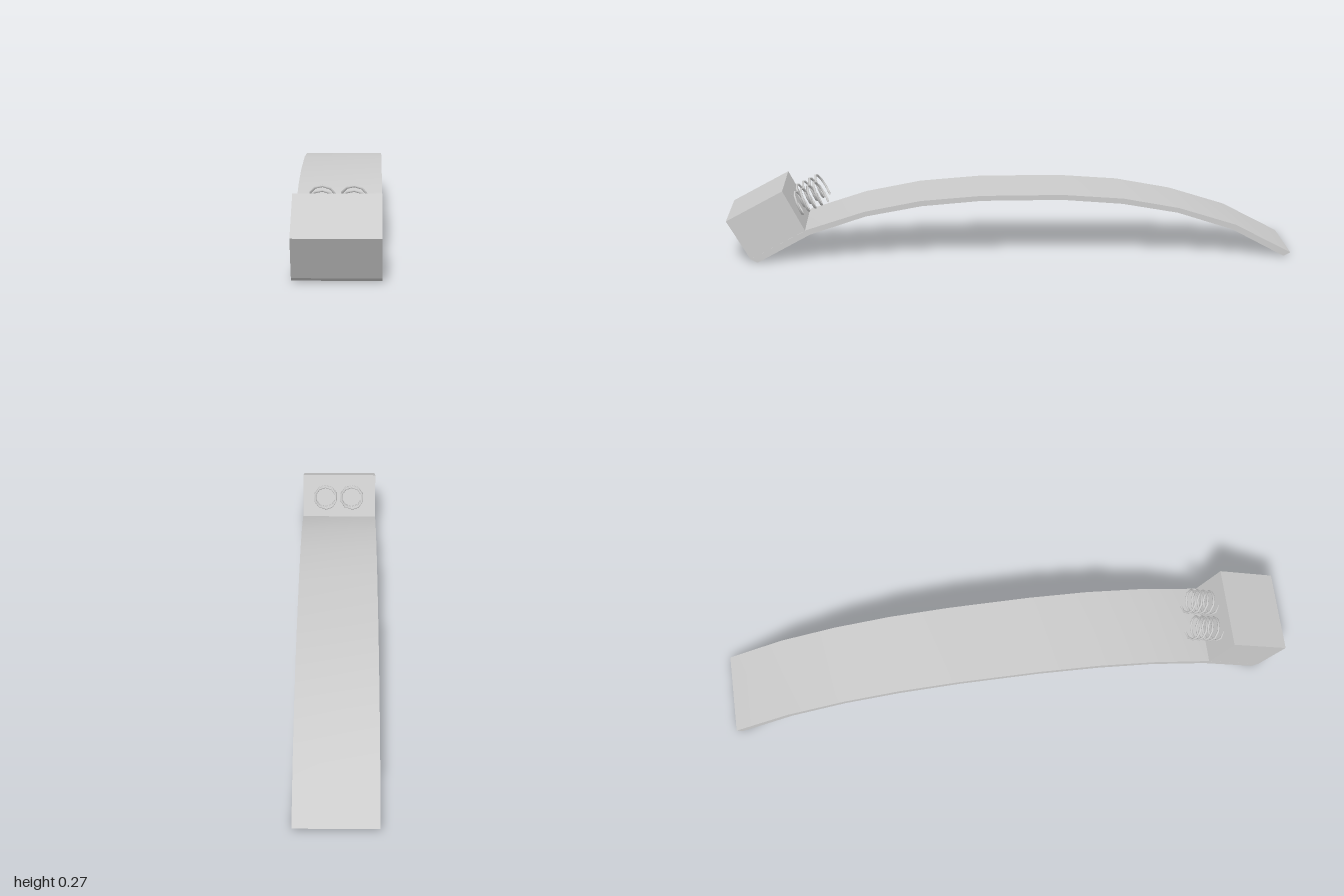
import * as THREE from 'three';
import { toCreasedNormals } from 'three/addons/utils/BufferGeometryUtils.js';

const WIDTH = 0.284;
const MID_Z = -0.04; // the bow is symmetric about this z

// Extrude a (z, y) side profile across the width, centred on x = 0
function extrudeProfile(points, name, material) {
  const shape = new THREE.Shape(points.map(([z, y]) => new THREE.Vector2(z, y)));
  const geometry = new THREE.ExtrudeGeometry(shape, { depth: WIDTH, bevelEnabled: false });
  geometry.translate(0, 0, -WIDTH / 2);
  geometry.rotateY(-Math.PI / 2);
  const mesh = new THREE.Mesh(toCreasedNormals(geometry, 0.5), material);
  mesh.name = name;
  return mesh;
}

// Helix running along +z, starting at the top of the coil
class Helix extends THREE.Curve {
  constructor(radius, length, turns) {
    super();
    Object.assign(this, { radius, length, turns });
  }
  getPoint(t, target = new THREE.Vector3()) {
    const a = t * this.turns * Math.PI * 2;
    return target.set(this.radius * Math.sin(a), this.radius * Math.cos(a), this.length * t);
  }
}

export function createModel() {
  const group = new THREE.Group();
  const material = new THREE.MeshStandardMaterial({ color: 0xcccccc });
  const springMaterial = new THREE.MeshStandardMaterial({ color: 0xcccccc, side: THREE.DoubleSide });

  // Bowed strip: half profiles as [distance from middle, height], mirrored
  const upper = [[0.144, 0.235], [0.358, 0.219], [0.556, 0.182], [0.76, 0.118], [0.959, 0.013]];
  const lower = [[0.142, 0.217], [0.354, 0.2], [0.551, 0.165], [0.748, 0.101], [0.935, 0]];
  const side = (pts, s) => pts.map(([d, y]) => [MID_Z + s * d, y]);
  const profile = [
    ...side(lower, -1).reverse(), ...side(lower, 1),
    ...side(upper, 1).reverse(), ...side(upper, -1),
  ];
  group.add(extrudeProfile(profile, 'bowedStrip', material));

  // Block standing on the front end of the strip
  group.add(extrudeProfile(
    [[0.919, 0.013], [1, 0.153], [0.8, 0.26], [0.725, 0.116]], 'endBlock', material));

  // Pair of coil springs standing out of the block's inner face
  const coil = new THREE.TubeGeometry(new Helix(0.042, 0.114, 4.5), 45, 0.004, 8, false);
  for (const [name, x] of [['leftSpring', 0.053], ['rightSpring', -0.049]]) {
    const spring = new THREE.Mesh(coil, springMaterial);
    spring.name = name;
    // local z points inward and up along the strip, local x stays on world x
    const along = new THREE.Vector3(0, 0.45, -0.89).normalize();
    const up = new THREE.Vector3(0, 0.89, 0.45).normalize();
    // a mirrored x axis keeps the basis right-handed
    const across = new THREE.Vector3().crossVectors(up, along);
    spring.quaternion.setFromRotationMatrix(new THREE.Matrix4().makeBasis(across, up, along));
    spring.position.set(x, 0.184, 0.767);
    group.add(spring);
  }

  return group;
}
